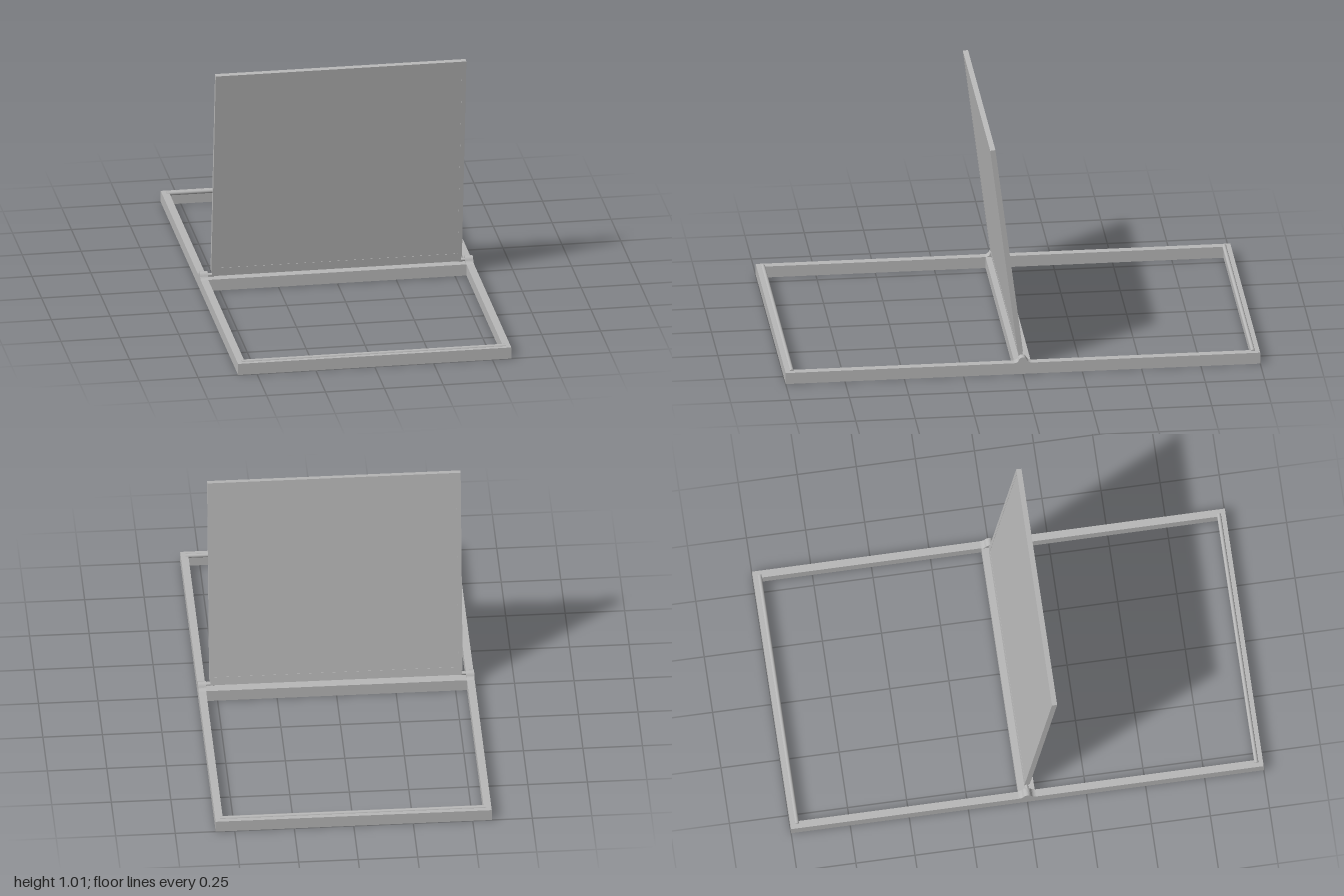
import * as THREE from 'three';

export function createModel() {
  const model = new THREE.Group();
  const grey = new THREE.MeshStandardMaterial({ color: 0xb8b8b8 });
  grey.name = 'satin grey';

  const add = (parent, name, geometry, x = 0, y = 0, z = 0) => {
    const mesh = new THREE.Mesh(geometry, grey);
    mesh.name = name;
    mesh.position.set(x, y, z);
    parent.add(mesh);
    return mesh;
  };
  const box = (parent, name, w, h, d, x, y, z) =>
    add(parent, name, new THREE.BoxGeometry(w, h, d), x, y, z);

  // Flat rectangular ring, lying on the ground
  const ring = (name, w, d, border, height, y, z = 0) => {
    const shape = new THREE.Shape();
    shape.moveTo(-w, -d).lineTo(w, -d).lineTo(w, d).lineTo(-w, d).closePath();
    const hole = new THREE.Path();
    const a = w - border, b = d - border;
    hole.moveTo(-a, -b).lineTo(-a, b).lineTo(a, b).lineTo(a, -b).closePath();
    shape.holes.push(hole);
    const geometry = new THREE.ExtrudeGeometry(shape, { depth: height, bevelEnabled: false });
    geometry.rotateX(-Math.PI / 2);
    return add(model, name, geometry, 0, y, z);
  };

  // Base frame with its central crossbar
  ring('baseFrame', 0.58, 1, 0.032, 0.05, 0);
  box(model, 'crossbar', 1.1, 0.05, 0.07, 0, 0.025, 0);

  // Low sealing beads at both ends of the frame
  for (const z of [-0.972, 0.972]) {
    const bead = add(model, 'sealBead', new THREE.CylinderGeometry(0.009, 0.009, 1.12, 12), 0, 0.048, z);
    bead.rotation.z = Math.PI / 2;
  }

  // Hinge blocks with rounded tops and flared feet, and their pins
  const cheek = new THREE.Shape();
  cheek.moveTo(-0.036, 0.05);
  cheek.quadraticCurveTo(-0.021, 0.052, -0.017, 0.063);
  cheek.quadraticCurveTo(-0.011, 0.075, 0, 0.075);
  cheek.quadraticCurveTo(0.011, 0.075, 0.017, 0.063);
  cheek.quadraticCurveTo(0.021, 0.052, 0.036, 0.05);
  cheek.lineTo(0.036, 0.045).lineTo(-0.036, 0.045).closePath();
  const cheekGeometry = new THREE.ExtrudeGeometry(cheek, { depth: 0.034, bevelEnabled: false, curveSegments: 6 });
  cheekGeometry.translate(0, 0, -0.017).rotateY(Math.PI / 2);
  for (const side of [-1, 1]) {
    add(model, 'hingeBlock', cheekGeometry, side * 0.563, 0, 0);
    const pin = add(model, 'hingePin', new THREE.CylinderGeometry(0.007, 0.007, 0.05, 16), side * 0.535, 0.06, 0.003);
    pin.rotation.z = Math.PI / 2;
  }

  // Tilted lid: narrow foot, inset core and a border of rails
  const lid = new THREE.Group();
  lid.name = 'lid';
  lid.position.set(0, 0.06, 0.003);
  lid.rotation.x = 0.125;
  model.add(lid);
  box(lid, 'lidFoot', 1.056, 0.024, 0.018, 0, 0.01, 0);
  box(lid, 'lidCore', 1.03, 0.91, 0.02, 0, 0.482, 0);
  box(lid, 'topRail', 1.064, 0.016, 0.022, 0, 0.944, 0);
  box(lid, 'bottomRail', 1.064, 0.016, 0.022, 0, 0.028, 0);
  for (const side of [-1, 1]) {
    box(lid, 'sideRail', 0.018, 0.9, 0.022, side * 0.523, 0.486, 0);
  }
  return model;
}
